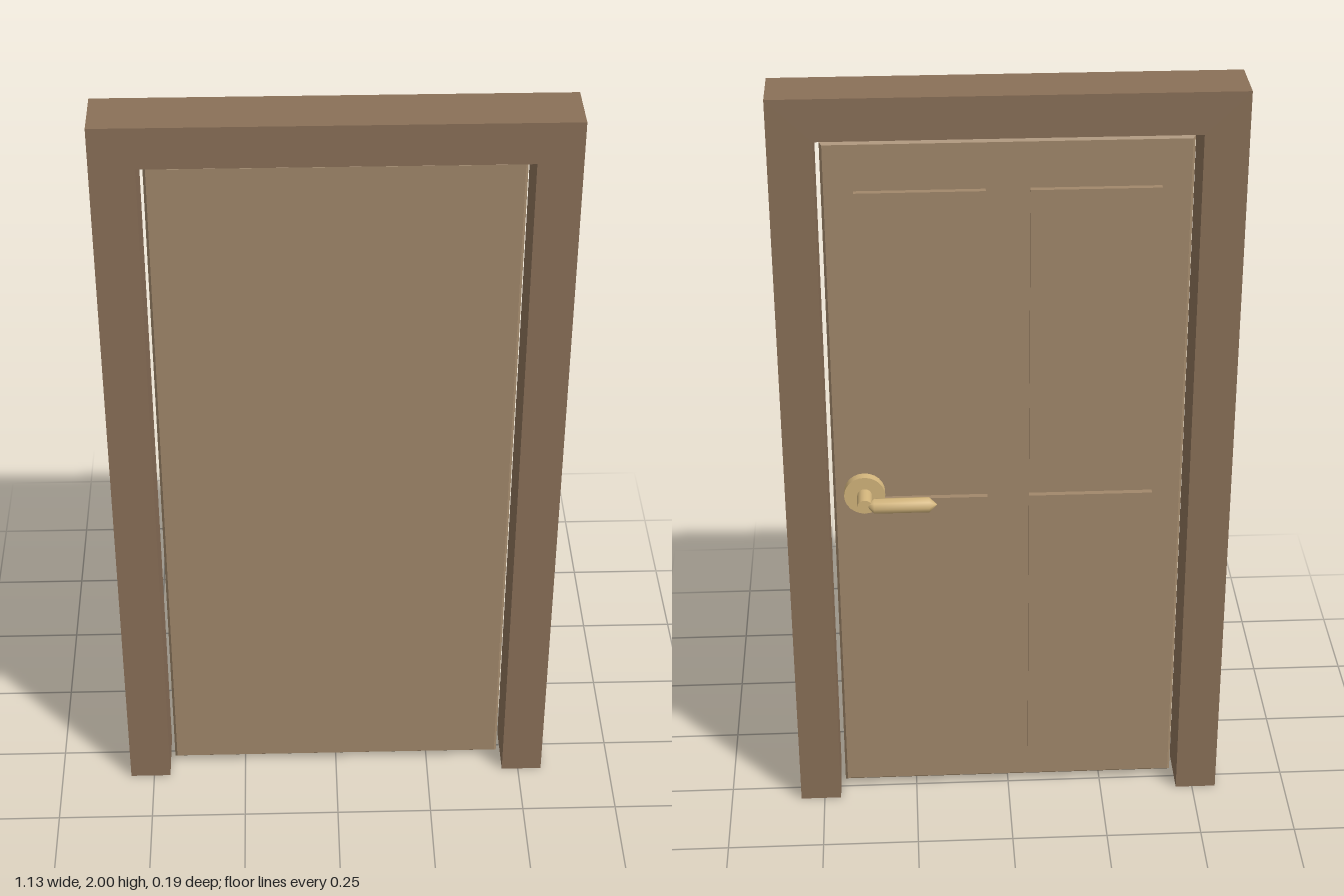
import * as THREE from 'three';

const frameMat = new THREE.MeshStandardMaterial({ color: 0x8a7058 });
const doorMat = new THREE.MeshStandardMaterial({ color: 0xa1886b });
const brassMat = new THREE.MeshStandardMaterial({ color: 0xd3b57c });

function add(parent, name, geometry, material, x = 0, y = 0, z = 0) {
  const mesh = new THREE.Mesh(geometry, material);
  mesh.name = name;
  mesh.position.set(x, y, z);
  parent.add(mesh);
  return mesh;
}

function polygon(points) {
  return new THREE.Shape(points.map(([x, y]) => new THREE.Vector2(x, y)));
}

export function createModel() {
  const model = new THREE.Group();
  model.name = 'doorway';

  // One-piece frame: two jambs and a head, open at the floor
  const frame = polygon([
    [-0.563, 0], [-0.456, 0], [-0.456, 1.895], [0.456, 1.895],
    [0.456, 0], [0.563, 0], [0.563, 2], [-0.563, 2],
  ]);
  add(model, 'frame', new THREE.ExtrudeGeometry(frame, { depth: 0.145, bevelEnabled: false }),
    frameMat, 0, 0, -0.05);

  // Door leaf with a small chamfer, leaving a gap to the frame
  const door = new THREE.Group();
  door.name = 'door';
  model.add(door);
  const b = 0.006, w = 0.443 - b, y0 = 0.021 + b, y1 = 1.873 - b;
  const leaf = polygon([[-w, y0], [w, y0], [w, y1], [-w, y1]]);
  add(door, 'doorLeaf', new THREE.ExtrudeGeometry(leaf, {
    depth: 0.046 - 2 * b, bevelEnabled: true, bevelSize: b, bevelThickness: b, bevelSegments: 1,
  }), doorMat, 0, 0, b);

  // Four raised panels on the back
  for (const side of [-1, 1]) {
    for (const [bottom, top] of [[0.123, 0.913], [1.018, 1.75]]) {
      add(door, 'raisedPanel', new THREE.BoxGeometry(0.314, top - bottom, 0.025),
        doorMat, side * 0.21, (bottom + top) / 2, -0.0025);
    }
  }

  // Handle: rose, stem and lever
  const handle = new THREE.Group();
  handle.name = 'handle';
  handle.position.set(0.364, 0.93, 0);
  door.add(handle);
  const rose = add(handle, 'handleRose', new THREE.CylinderGeometry(0.052, 0.052, 0.03, 24),
    brassMat, 0, 0, -0.008);
  rose.rotation.x = Math.PI / 2;
  const stem = add(handle, 'handleStem', new THREE.CylinderGeometry(0.019, 0.019, 0.07, 16),
    brassMat, 0, 0, -0.045);
  stem.rotation.x = Math.PI / 2;
  const profile = [[0, -0.089], [0.02, -0.069], [0.02, 0.069], [0, 0.089]]
    .map(([r, y]) => new THREE.Vector2(r, y));
  const lever = add(handle, 'handleLever', new THREE.LatheGeometry(profile, 8),
    brassMat, -0.093, 0, -0.075);
  lever.rotation.z = Math.PI / 2;

  return model;
}
